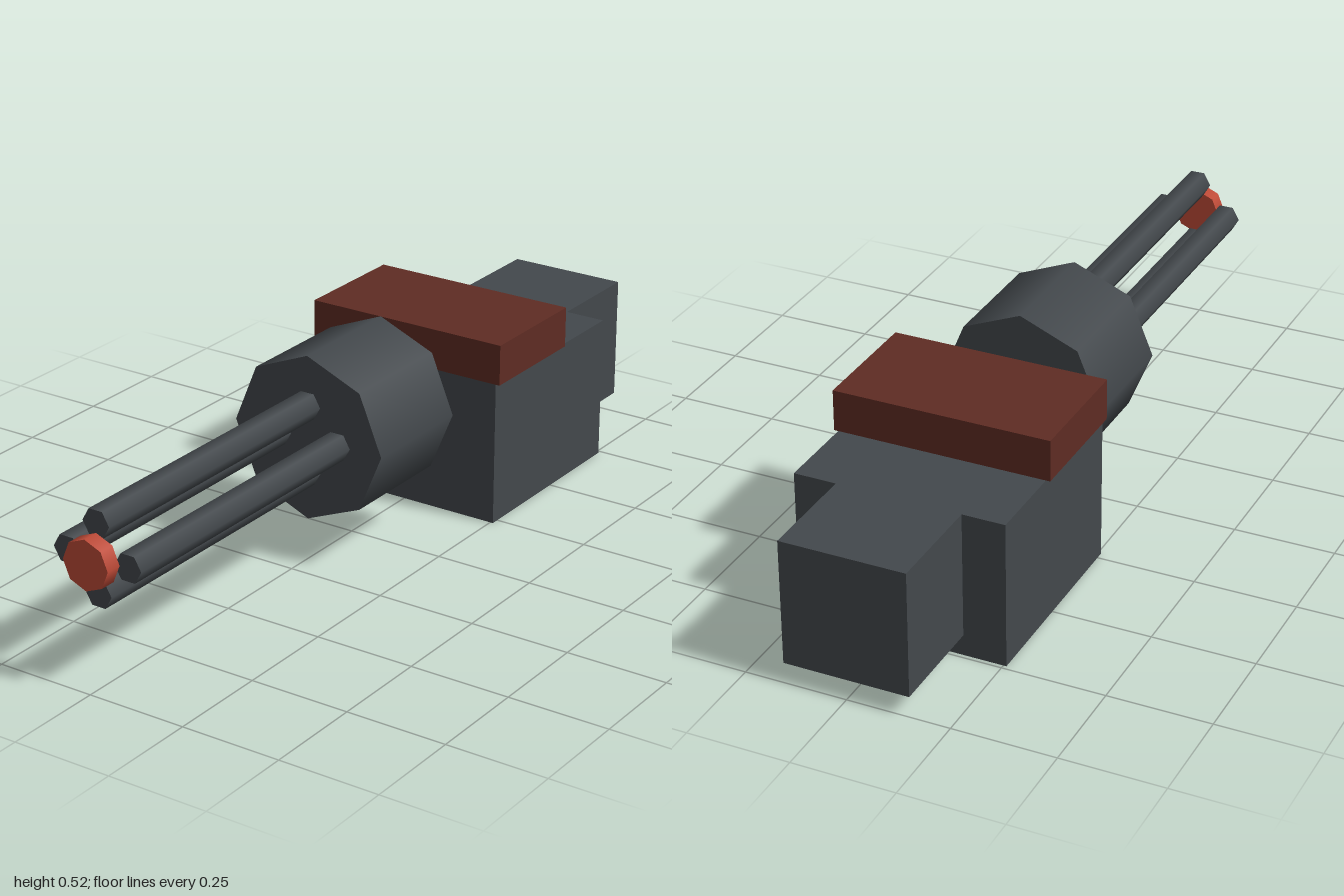
import * as THREE from 'three';

export function createModel() {
  const group = new THREE.Group();
  const material = (name, color) => {
    const m = new THREE.MeshStandardMaterial({ color });
    m.name = name;
    return m;
  };
  const gunmetal = material('gunmetal grey', 0x43484c);
  const rust = material('dark rust red', 0x5f2c23);
  const red = material('bright red', 0xbe4a37);

  const add = (name, geometry, mat, x, y, z) => {
    const mesh = new THREE.Mesh(geometry, mat);
    mesh.name = name;
    mesh.position.set(x, y, z);
    group.add(mesh);
  };
  // Box given by width, bottom/top and back/front
  const box = (name, mat, w, y0, y1, z0, z1) =>
    add(name, new THREE.BoxGeometry(w, y1 - y0, z1 - z0), mat, 0, (y0 + y1) / 2, (z0 + z1) / 2);
  // Prism lying along z, turned by spin about its own axis
  const rod = (name, mat, r, sides, spin, x, y, z0, z1) =>
    add(name, new THREE.CylinderGeometry(r, r, z1 - z0, sides).rotateY(spin).rotateX(Math.PI / 2),
      mat, x, y, (z0 + z1) / 2);

  // Rear housing, its stepped back block and the top cover
  box('housing', gunmetal, 0.515, 0, 0.363, -0.74, -0.23);
  box('rearBlock', gunmetal, 0.306, 0.052, 0.363, -1, -0.74);
  box('topCover', rust, 0.536, 0.363, 0.465, -0.535, -0.23);

  // Floating drum with four barrels around its axis
  const axisY = 0.31;
  rod('drum', gunmetal, 0.206, 8, 0, 0, axisY, -0.122, 0.182);
  for (let i = 0; i < 4; i++) {
    const a = (i * Math.PI) / 2;
    rod('barrel', gunmetal, 0.036, 6, Math.PI / 6,
      0.083 * Math.cos(a), axisY + 0.083 * Math.sin(a), 0.17, 0.96);
  }

  // Muzzle disc at the barrel tips
  rod('muzzleDisc', red, 0.061, 8, 0, 0, axisY, 0.96, 1);
  return group;
}
